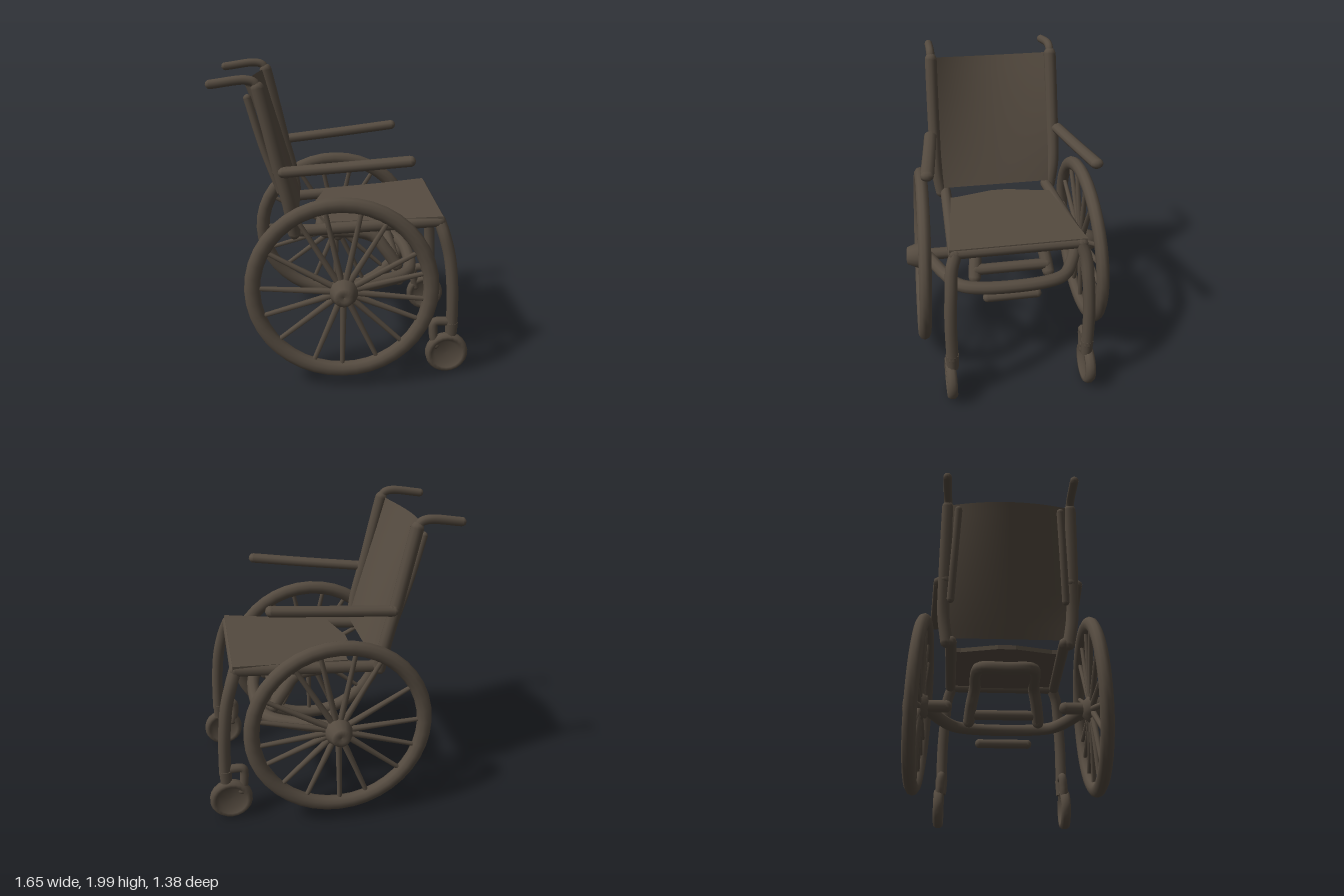
import * as THREE from 'three';

const frame = new THREE.MeshStandardMaterial({ color: 0x554b40, side: THREE.DoubleSide });
frame.name = 'dark brown';

const V = (p) => new THREE.Vector3(...p);

function add(parent, name, geometry, position = [0, 0, 0]) {
  const mesh = new THREE.Mesh(geometry, frame);
  mesh.name = name;
  mesh.position.set(...position);
  parent.add(mesh);
  return mesh;
}

// Bent round tube with rounded ends
function tube(parent, name, points, radius, segments = 24) {
  const group = new THREE.Group();
  group.name = name;
  const curve = new THREE.CatmullRomCurve3(points.map(V), false, 'centripetal');
  add(group, name + 'Tube', new THREE.TubeGeometry(curve, segments, radius, 10));
  for (const end of [points[0], points[points.length - 1]]) {
    add(group, name + 'End', new THREE.SphereGeometry(radius, 10, 6), end);
  }
  parent.add(group);
  return group;
}

// Slightly uneven spoke directions, in degrees
const spokeAngles = [13, 29, 59, 78, 102, 121, 151, 177, 197, 218, 248, 269, 295, 317, 338, 354];

// Large spoked wheel; s is the side, +1 or -1 along z
function driveWheel(s) {
  const wheel = new THREE.Group();
  wheel.name = s > 0 ? 'rightDriveWheel' : 'leftDriveWheel';
  add(wheel, 'tyre', new THREE.TorusGeometry(0.558, 0.05, 10, 40)).scale.set(1.012, 0.992, 0.85);
  const profile = [[0, -0.06], [0.05, -0.06], [0.09, -0.02], [0.09, 0.03], [0.06, 0.105], [0.03, 0.11], [0, 0.1]];
  const hub = add(wheel, 'hub', new THREE.LatheGeometry(profile.map((p) => new THREE.Vector2(...p)), 14), [0.01, -0.015, 0]);
  hub.rotation.x = s * Math.PI / 2;
  for (const degrees of spokeAngles) {
    const a = THREE.MathUtils.degToRad(degrees);
    const spoke = add(wheel, 'spoke', new THREE.CylinderGeometry(0.015, 0.022, 0.5, 7),
      [0.01 + Math.cos(a) * 0.29, -0.015 + Math.sin(a) * 0.29, 0]);
    spoke.rotation.z = a - Math.PI / 2;
  }
  wheel.position.set(-0.024, 0.68, s * 0.577);
  wheel.rotation.set(-s * 0.05, s > 0 ? -0.02 : 0.008, 0);
  return wheel;
}

// Small front wheel with a dished centre, and its fork
function caster(s) {
  const group = new THREE.Group();
  group.name = s > 0 ? 'rightCaster' : 'leftCaster';
  const profile = [[0, -0.006], [0.08, -0.008], [0.105, -0.033], [0.128, -0.033], [0.142, -0.014],
    [0.142, 0.014], [0.128, 0.033], [0.105, 0.033], [0.08, 0.008], [0, 0.006]];
  const wheel = add(group, 'casterWheel',
    new THREE.LatheGeometry(profile.map((p) => new THREE.Vector2(...p)), 22), [0.685, 0.147, s * 0.46]);
  wheel.rotation.x = Math.PI / 2;
  tube(group, 'forkArm', [[0.72, 0.36, s * 0.445], [0.66, 0.37, s * 0.445], [0.598, 0.362, s * 0.445],
    [0.593, 0.28, s * 0.45], [0.61, 0.2, s * 0.455]], 0.03);
  add(group, 'forkCollar', new THREE.CylinderGeometry(0.044, 0.038, 0.11, 10), [0.712, 0.31, s * 0.447]);
  return group;
}

// Hanging fabric back: bows rearward, more so toward the top
function backrestGeometry() {
  const geometry = new THREE.PlaneGeometry(1, 1, 16, 12);
  const p = geometry.attributes.position;
  for (let i = 0; i < p.count; i++) {
    const u = p.getX(i) * 2, t = p.getY(i) + 0.5;
    const bow = 1 - u * u;
    p.setXYZ(i, -0.29 - 0.23 * t - 0.105 * bow * t, 1.04 + t * (0.89 - 0.035 * bow), -u * (0.43 - 0.01 * t));
  }
  geometry.computeVertexNormals();
  return geometry;
}

export function createModel() {
  const chair = new THREE.Group();
  chair.name = 'wheelchair';

  for (const s of [1, -1]) {
    chair.add(driveWheel(s), caster(s));

    // Back upright, curving into the push handle
    tube(chair, 'backUpright', [[-0.32, 1.0, s * 0.4], [-0.345, 1.18, s * 0.425],
      [-0.41, 1.45, s * 0.425], [-0.47, 1.72, s * 0.42], [-0.515, 1.92, s * 0.415]], 0.042);
    tube(chair, 'pushHandle', [[-0.515, 1.92, s * 0.415], [-0.535, 1.955, s * 0.415],
      [-0.585, 1.97, s * 0.415], [-0.795, 1.945, s * 0.41]], 0.028);
    // Stiffener behind the backrest edge
    tube(chair, 'backStiffener', [[-0.585, 1.85, s * 0.34], [-0.5, 1.55, s * 0.36], [-0.4, 1.27, s * 0.38]], 0.025);

    // Armrest, wide and flaring outward
    const arm = tube(chair, 'armrest', [[0, 0, 0], [0.4, 0.04, s * 0.027], [0.77, 0.08, s * 0.054]], 0.033);
    arm.position.set(-0.38, 1.415, s * 0.455);
    arm.scale.z = 1.3;
    tube(chair, 'armrestMount', [[-0.41, 1.41, s * 0.42], [-0.36, 1.415, s * 0.46]], 0.036, 4);

    // Seat rail and front leg
    tube(chair, 'seatRail', [[-0.32, 1.0, s * 0.37], [0.61, 1.065, s * 0.4]], 0.038);
    tube(chair, 'frontLeg', [[0.61, 1.065, s * 0.39], [0.64, 0.98, s * 0.42], [0.68, 0.83, s * 0.435],
      [0.705, 0.62, s * 0.447], [0.716, 0.34, s * 0.447]], 0.04).name = 'frontLeg';

    // Axle stub
    tube(chair, 'axleStub', [[-0.01, 0.67, s * 0.56], [-0.01, 0.67, s * 0.4]], 0.042, 4);
  }

  add(chair, 'backrest', backrestGeometry());

  // Seat, narrower toward the back
  const outline = [[0.63, -0.43], [0.63, 0.43], [-0.12, 0.35], [-0.12, 0.31], [-0.19, 0.06], [-0.19, -0.06],
    [-0.12, -0.31], [-0.12, -0.35]];
  const seat = add(chair, 'seat', new THREE.ExtrudeGeometry(
    new THREE.Shape(outline.map((p) => new THREE.Vector2(...p))), { depth: 0.03, bevelEnabled: false })
    .rotateX(-Math.PI / 2), [0, 1.03, 0]);
  seat.rotation.z = 0.072;
  tube(chair, 'seatFrontBar', [[0.61, 1.068, -0.4], [0.61, 1.068, 0.4]], 0.035);

  // Lower frame sweeping forward and inward from the hubs
  tube(chair, 'lowerFrame', [[0.03, 0.67, -0.53], [0.25, 0.67, -0.44], [0.4, 0.675, -0.35], [0.455, 0.675, -0.2],
    [0.455, 0.675, 0.2], [0.4, 0.675, 0.35], [0.25, 0.67, 0.44], [0.03, 0.67, 0.53]], 0.043, 60);

  // Curved carrier under the seat
  tube(chair, 'underSeatLoop', [[0.36, 0.7, 0.25], [0.29, 0.8, 0.235], [0.2, 0.9, 0.21], [0, 0.93, 0.2],
    [-0.11, 0.915, 0.17], [-0.14, 0.9, 0], [-0.11, 0.915, -0.17], [0, 0.93, -0.2], [0.2, 0.9, -0.21],
    [0.29, 0.8, -0.235], [0.36, 0.7, -0.25]], 0.042, 60);
  add(chair, 'underSeatPlate', new THREE.BoxGeometry(0.33, 0.03, 0.4), [0.04, 0.915, 0]);
  tube(chair, 'underSeatBar', [[0.34, 0.745, -0.24], [0.34, 0.745, 0.24]], 0.037);

  tube(chair, 'footBar', [[0.39, 0.545, -0.17], [0.39, 0.545, 0.17]], 0.033);

  return chair;
}
